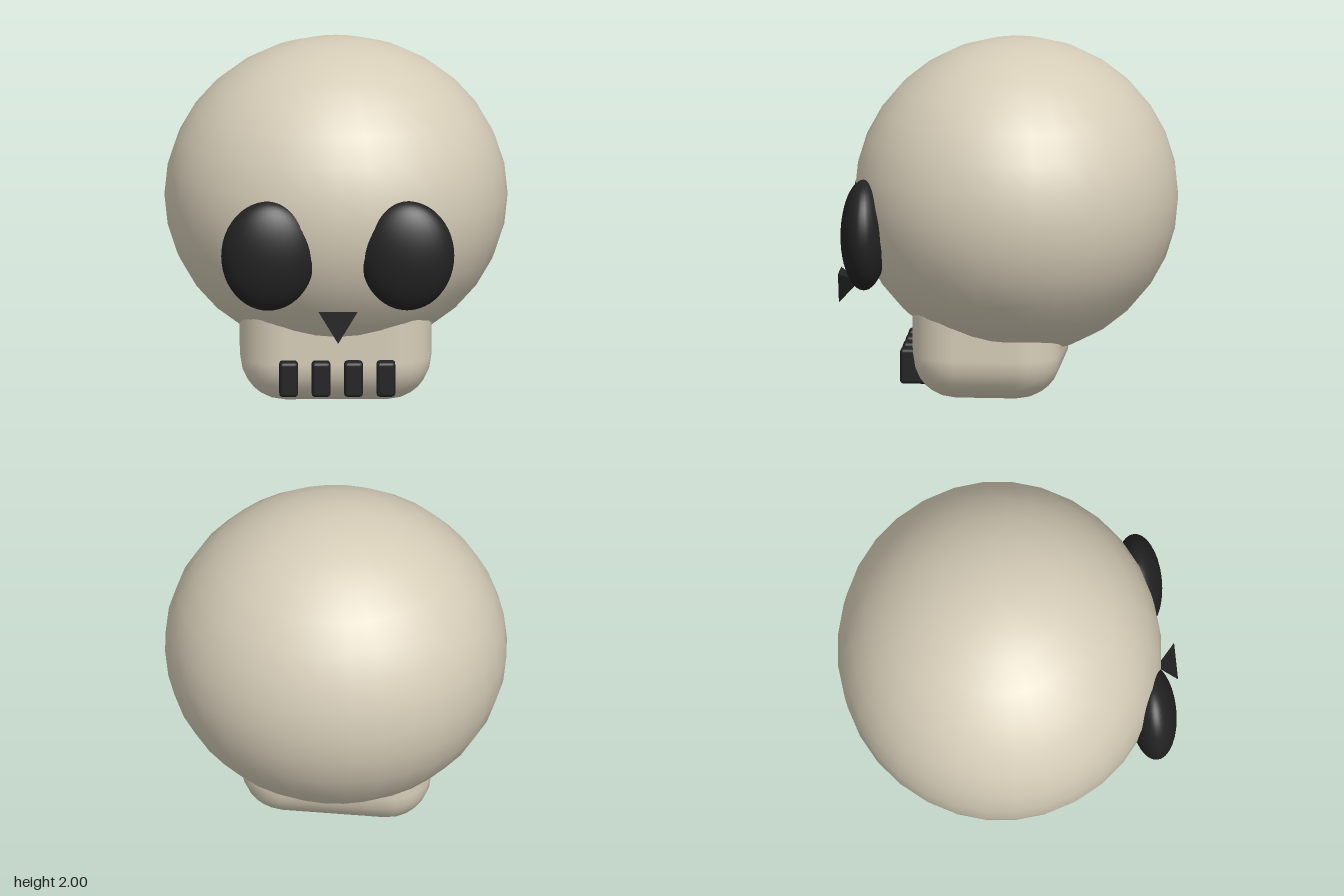
import * as THREE from 'three';
import { RoundedBoxGeometry } from 'three/addons/geometries/RoundedBoxGeometry.js';
import { ConvexGeometry } from 'three/addons/geometries/ConvexGeometry.js';

export function createModel() {
  const bone = new THREE.MeshStandardMaterial({ color: 0xd6cdb8 });
  bone.name = 'bone';
  const dark = new THREE.MeshStandardMaterial({ color: 0x222223 });
  dark.name = 'dark';

  // Whole skull is turned slightly towards its left
  const skull = new THREE.Group();
  skull.name = 'skull';
  skull.position.z = -0.055;
  skull.rotation.y = 0.21;

  const add = (name, geometry, material, x, y, z) => {
    const mesh = new THREE.Mesh(geometry, material);
    mesh.name = name;
    mesh.position.set(x, y, z);
    skull.add(mesh);
    return mesh;
  };

  // Cranium: a slightly flattened ball
  add('cranium', new THREE.SphereGeometry(1, 32, 16), bone, 0, 1.11, 0)
    .scale.set(0.963, 0.89, 0.91);

  // Jaw: a rounded block whose top is buried in the cranium
  add('jaw', new RoundedBoxGeometry(1.072, 0.8, 0.838, 3, 0.25), bone, -0.005, 0.403, 0.142);

  // Eye sockets
  for (const side of [-1, 1]) {
    add(side > 0 ? 'leftEye' : 'rightEye', new THREE.SphereGeometry(1, 32, 24), dark, side * 0.39, 0.943, 0.824)
      .scale.set(0.264, 0.313, 0.132);
  }

  // Nose: a small three-sided spike pointing down
  const nosePoints = [[-0.11, 0.66, 0.996], [0.11, 0.66, 0.996], [0, 0.6, 0.885], [0, 0.477, 1.0]];
  add('nose', new ConvexGeometry(nosePoints.map((p) => new THREE.Vector3(...p))), dark, 0, 0, 0);

  // Row of teeth
  for (let i = 0; i < 4; i++) {
    add('tooth', new RoundedBoxGeometry(0.105, 0.2, 0.16, 2, 0.02), dark, (i - 1.5) * 0.182, 0.18, 0.55);
  }

  const model = new THREE.Group();
  model.name = 'model';
  model.add(skull);
  return model;
}
